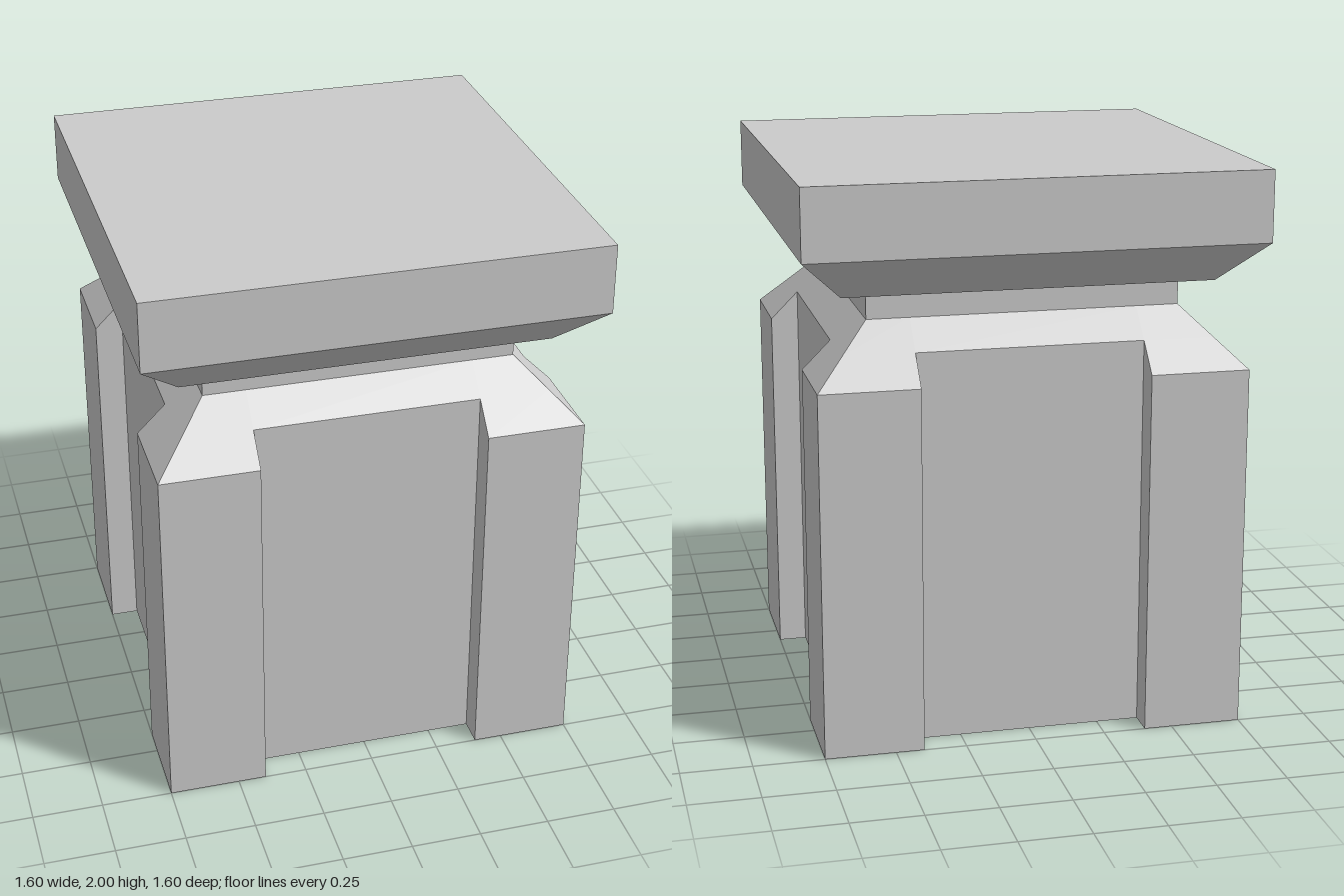
import * as THREE from 'three';

const RECESS_FACE = 0.65; // distance of the recessed panels from the axis
const RECESS_HALF = 0.4;  // half width of the recessed panels

// Repeats one side's [x, z] points around the four sides
function fourSides(side) {
  const ring = [];
  let pts = side;
  for (let i = 0; i < 4; i++) {
    ring.push(...pts);
    pts = pts.map(([x, z]) => [z, -x]);
  }
  return ring;
}

const square = (h) => fourSides([[-h, h]]);

// Square with a shallow notch in each side, which fades out as it narrows
function notched(h) {
  const d = Math.min(h, RECESS_FACE), w = RECESS_HALF;
  return fourSides([[-h, h], [-w, h], [-w, d], [w, d], [w, h]]);
}

// Closed, flat-shaded solid through levels of [y, half width]
function loft(name, outline, levels, material) {
  const rings = levels.map(([y, h]) => outline(h).map(([x, z]) => new THREE.Vector3(x, y, z)));
  const positions = [];
  const triangle = (a, b, c) => {
    const area = b.clone().sub(a).cross(c.clone().sub(a)).length();
    if (area > 1e-7) for (const p of [a, b, c]) positions.push(p.x, p.y, p.z);
  };
  for (let k = 0; k < rings.length - 1; k++) {
    const lo = rings[k], hi = rings[k + 1];
    lo.forEach((a, i) => {
      const j = (i + 1) % lo.length;
      triangle(a, lo[j], hi[j]);
      triangle(a, hi[j], hi[i]);
    });
  }
  const close = (ring, up) => {
    const flat = ring.map((p) => new THREE.Vector2(p.x, -p.z));
    for (const [a, b, c] of THREE.ShapeUtils.triangulateShape(flat, [])) {
      if (up) triangle(ring[a], ring[b], ring[c]);
      else triangle(ring[a], ring[c], ring[b]);
    }
  };
  close(rings[0], false);
  close(rings[rings.length - 1], true);

  const geometry = new THREE.BufferGeometry();
  geometry.setAttribute('position', new THREE.Float32BufferAttribute(positions, 3));
  geometry.computeVertexNormals();
  const mesh = new THREE.Mesh(geometry, material);
  mesh.name = name;
  return mesh;
}

export function createModel() {
  const group = new THREE.Group();
  group.name = 'pedestal';
  const material = new THREE.MeshStandardMaterial({ color: 0xcccccc, flatShading: true });

  group.add(
    // Body with corner posts, recessed panels and sloped shoulders
    loft('body', notched, [[0, 0.75], [1.3, 0.75], [1.4, 0.65], [1.5, 0.55]], material),
    // Narrow neck between the shoulders and the cap
    loft('neck', square, [[1.5, 0.55], [1.6, 0.55]], material),
    // Cap slab with a bevelled underside
    loft('cap', square, [[1.6, 0.65], [1.75, 0.8], [2, 0.8]], material),
  );
  return group;
}
